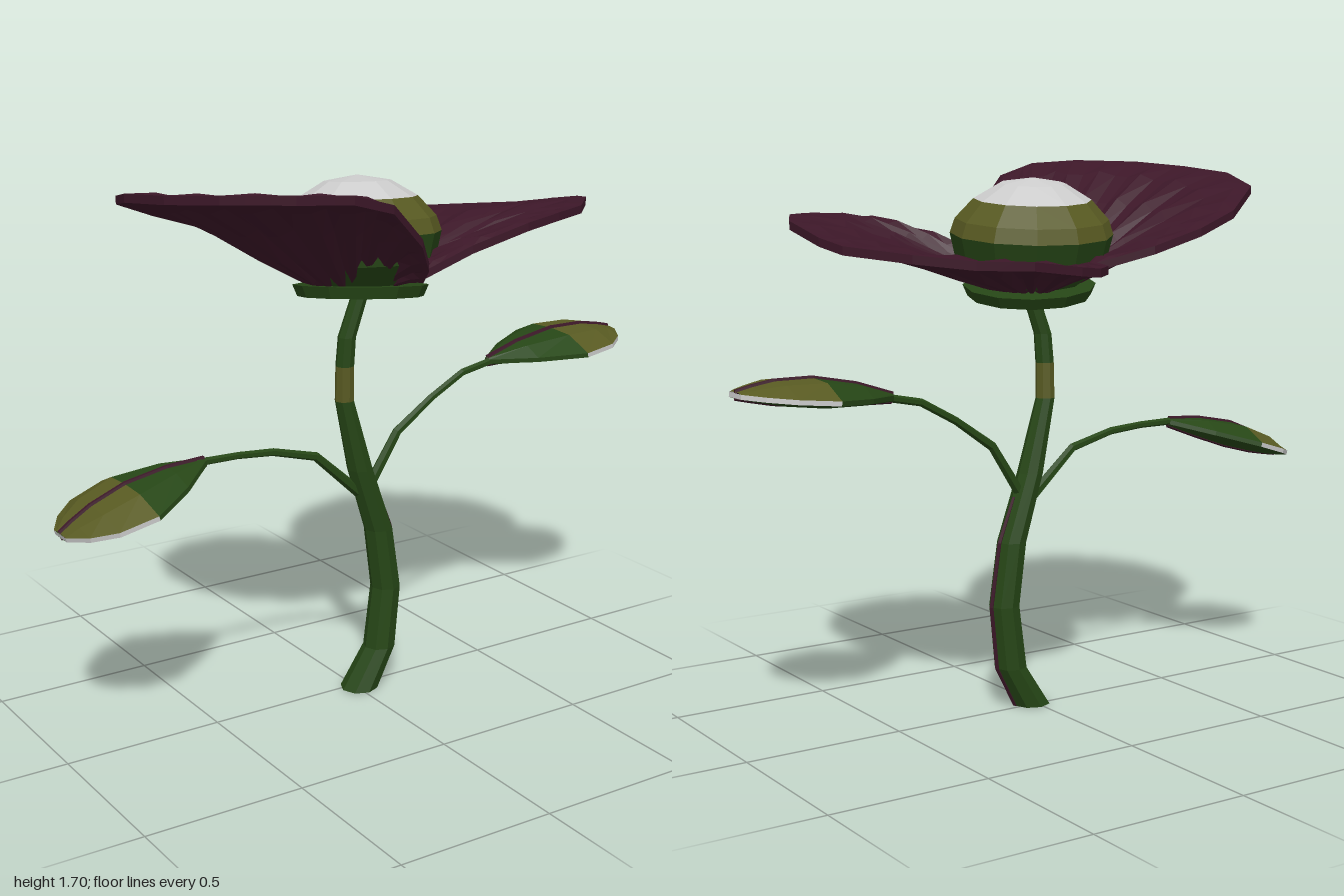
import * as THREE from 'three';

const V = (x, y, z) => new THREE.Vector3(x, y, z);
const paint = (color) => new THREE.MeshStandardMaterial({ color, flatShading: true, side: THREE.DoubleSide });

// Surface through rows of points
function grid(rows, flip = false) {
  const pos = [];
  const tri = (a, b, c) => (flip ? [a, c, b] : [a, b, c]).forEach((p) => pos.push(p.x, p.y, p.z));
  for (let i = 0; i < rows.length - 1; i++) {
    for (let j = 0; j < rows[i].length - 1; j++) {
      const a = rows[i][j], b = rows[i][j + 1], c = rows[i + 1][j + 1], d = rows[i + 1][j];
      tri(a, d, b);
      tri(b, d, c);
    }
  }
  const g = new THREE.BufferGeometry();
  g.setAttribute('position', new THREE.Float32BufferAttribute(pos, 3));
  g.computeVertexNormals();
  return g;
}

// Rings along a path of [x, y, z, radius]; level rings stay horizontal
function rings(path, sides, level = false) {
  return path.map(([x, y, z, r], i) => {
    const p = path[Math.max(i - 1, 0)], q = path[Math.min(i + 1, path.length - 1)];
    const len = Math.hypot(q[0] - p[0], q[1] - p[1]);
    const nx = level ? 1 : (q[1] - p[1]) / len, ny = level ? 0 : -(q[0] - p[0]) / len;
    return Array.from({ length: sides + 1 }, (_, k) => {
      const a = (k / sides) * Math.PI * 2;
      return V(x + nx * r * Math.cos(a), y + ny * r * Math.cos(a), z + r * Math.sin(a));
    });
  });
}

export function createModel() {
  const model = new THREE.Group();
  model.name = 'flower';
  const green = paint(0x264616), olive = paint(0x585a22), maroon = paint(0x3c1728), pale = paint(0xcccccc);
  const add = (parent, name, geometry, material) => {
    const m = new THREE.Mesh(geometry, material);
    m.name = name;
    parent.add(m);
    return m;
  };

  // Curved stem with an olive band
  const stem = rings([
    [0.01, 0, 0.018, 0.06], [0.085, 0.13, 0.02, 0.051], [0.108, 0.33, 0.02, 0.048],
    [0.08, 0.53, 0.02, 0.046], [0.008, 0.74, 0.025, 0.041], [-0.052, 0.97, 0.03, 0.03],
    [-0.053, 1.08, 0.034, 0.029], [-0.048, 1.17, 0.038, 0.028], [-0.005, 1.3, 0.045, 0.026],
  ], 8, true);
  add(model, 'lowerStem', grid(stem.slice(0, 6)), green);
  add(model, 'stemBand', grid(stem.slice(5, 7)), olive);
  add(model, 'upperStem', grid(stem.slice(6)), green);
  const foot = add(model, 'stemFoot', new THREE.CircleGeometry(0.06, 8), green);
  foot.rotation.x = Math.PI / 2;
  foot.position.set(0.01, 0.001, 0.018);
  add(model, 'stemVein', grid(rings([
    [0.066, 0, 0.02, 0.009], [0.133, 0.13, 0.02, 0.009], [0.153, 0.33, 0.02, 0.009],
    [0.123, 0.53, 0.02, 0.009], [0.07, 0.67, 0.02, 0.007],
  ], 5, true)), maroon);

  // Leaf stalks
  const stalks = {
    leftStalk: [[0.03, 0.65, 0.02, 0.018], [0.15, 0.835, 0.02, 0.015], [0.28, 0.925, 0.02, 0.012],
      [0.4, 0.99, 0.02, 0.012], [0.53, 1.015, 0.02, 0.012]],
    rightStalk: [[0.02, 0.65, 0.02, 0.018], [-0.15, 0.805, 0.02, 0.014], [-0.3, 0.845, 0.02, 0.012],
      [-0.42, 0.855, 0.02, 0.011], [-0.56, 0.857, 0.02, 0.012]],
  };
  for (const [name, path] of Object.entries(stalks)) add(model, name, grid(rings(path, 6)), green);

  // Leaf: stations of [distance, half width, crest height, belly depth]
  const stations = [[0, 0.012, 0.012, 0.012], [0.12, 0.11, 0.04, 0.02], [0.26, 0.186, 0.054, 0.026],
    [0.38, 0.165, 0.043, 0.022], [0.45, 0.11, 0.025, 0.014], [0.495, 0.04, 0.01, 0.008]];
  const across = [[-1, 0], [-0.5, 0.88], [0, 1], [0.5, 0.88], [1, 0]];
  const edge = 0.007;
  const skin = (sign) => stations.map(([x, w, top, low]) =>
    across.map(([u, h]) => V(x, sign * (edge + h * ((sign > 0 ? top : low) - edge)), u * w)));
  const rim = (from, to) => {
    const part = stations.slice(from, to);
    const line = [...part.map(([x, w]) => [x, w]), ...part.reverse().map(([x, w]) => [x, -w])];
    return grid([line.map(([x, z]) => V(x, edge, z)), line.map(([x, z]) => V(x, -edge, z))]);
  };
  function leaf(name, x, y, turn, tilt, length) {
    const g = new THREE.Group();
    g.name = name;
    const top = skin(1), low = skin(-1);
    add(g, 'leafBase', grid(top.slice(0, 3), true), green);
    add(g, 'leafTip', grid(top.slice(2), true), olive);
    add(g, 'leafUnderside', grid(low), green);
    add(g, 'leafBaseRim', rim(0, 3), green);
    add(g, 'leafTipRim', rim(2), pale);
    add(g, 'leafVein', grid(rings(stations.map(([d, , t]) => [d, t, 0, 0.008]), 5)), maroon);
    add(g, 'lowerVein', grid(rings(stations.map(([d, , , b]) => [d, -b, 0, 0.006]), 5)), maroon);
    g.position.set(x, y, 0.018);
    g.rotation.set(0, turn, tilt);
    g.scale.x = length / 0.495;
    model.add(g);
  }
  leaf('leftLeaf', 0.5, 1.012, 0, 0.085, 0.5);
  leaf('rightLeaf', -0.53, 0.855, Math.PI, -0.29, 0.485);

  // Petals: pleated cups from the flower centre out to a rim
  const hub = V(0, 1.32, 0.02);
  function petal(name, outline) {
    const line = [];
    outline.forEach(([x, z, y], i) => {
      const next = outline[i + 1];
      if (!next) return line.push(V(x, y, z));
      for (let k = 0; k < 3; k++) line.push(V(x, y, z).lerp(V(next[0], next[2], next[1]), k / 3));
    });
    const layer = (s, drop) => line.map((p, j) => {
      const rise = s * s * (3 - 2 * s);
      const pleat = j % 3 === 1 ? 0.022 * Math.sin(Math.PI * s) : 0;
      return V(hub.x + (p.x - hub.x) * s, hub.y + (p.y - hub.y) * rise + pleat - drop, hub.z + (p.z - hub.z) * s);
    });
    const steps = [0.08, 0.25, 0.42, 0.6, 0.78, 0.92, 1];
    const upper = steps.map((s) => layer(s, 0));
    const lower = steps.map((s) => layer(s, 0.025)).reverse();
    add(model, name, grid([...upper, ...lower]), maroon);
  }
  petal('rightPetal', [[-0.06, -0.23, 1.4], [-0.2, -0.33, 1.45], [-0.35, -0.36, 1.5], [-0.5, -0.33, 1.55],
    [-0.68, -0.2, 1.62], [-0.75, 0, 1.66], [-0.73, 0.2, 1.68], [-0.65, 0.36, 1.695], [-0.5, 0.5, 1.7],
    [-0.34, 0.53, 1.69], [-0.2, 0.51, 1.65], [-0.05, 0.43, 1.53], [0.03, 0.35, 1.44], [0.06, 0.28, 1.39]]);
  petal('leftPetal', [[0.06, 0.28, 1.4], [0.2, 0.33, 1.47], [0.37, 0.37, 1.525], [0.5, 0.35, 1.54],
    [0.62, 0.31, 1.545], [0.73, 0.2, 1.545], [0.78, 0.1, 1.53], [0.79, -0.1, 1.49], [0.77, -0.2, 1.47],
    [0.65, -0.37, 1.45], [0.53, -0.5, 1.435], [0.37, -0.54, 1.43], [0.2, -0.52, 1.41], [0.1, -0.47, 1.4],
    [0, -0.37, 1.4], [-0.06, -0.23, 1.4]]);

  // Green disc under the petals
  const calyx = add(model, 'calyx', new THREE.CylinderGeometry(0.205, 0.19, 0.035, 12), green);
  calyx.position.set(0, 1.308, 0.04);
  calyx.rotation.set(-0.14, 0, -0.09);

  // Domed flower centre in three bands
  const dome = new THREE.Group();
  dome.name = 'flowerCentre';
  const band = (name, pts, material) =>
    add(dome, name, new THREE.LatheGeometry(pts.map(([r, y]) => new THREE.Vector2(r, y)), 12), material);
  band('domeBase', [[0, -0.12], [0.15, -0.12], [0.23, -0.055], [0.25, 0.03]], green);
  band('domeBand', [[0.25, 0.03], [0.235, 0.075], [0.18, 0.135]], olive);
  band('domeCap', [[0.18, 0.135], [0.1, 0.183], [0, 0.2]], pale);
  dome.position.set(0.005, 1.45, 0.02);
  dome.rotation.set(-0.1, 0, -0.04);
  model.add(dome);

  return model;
}
